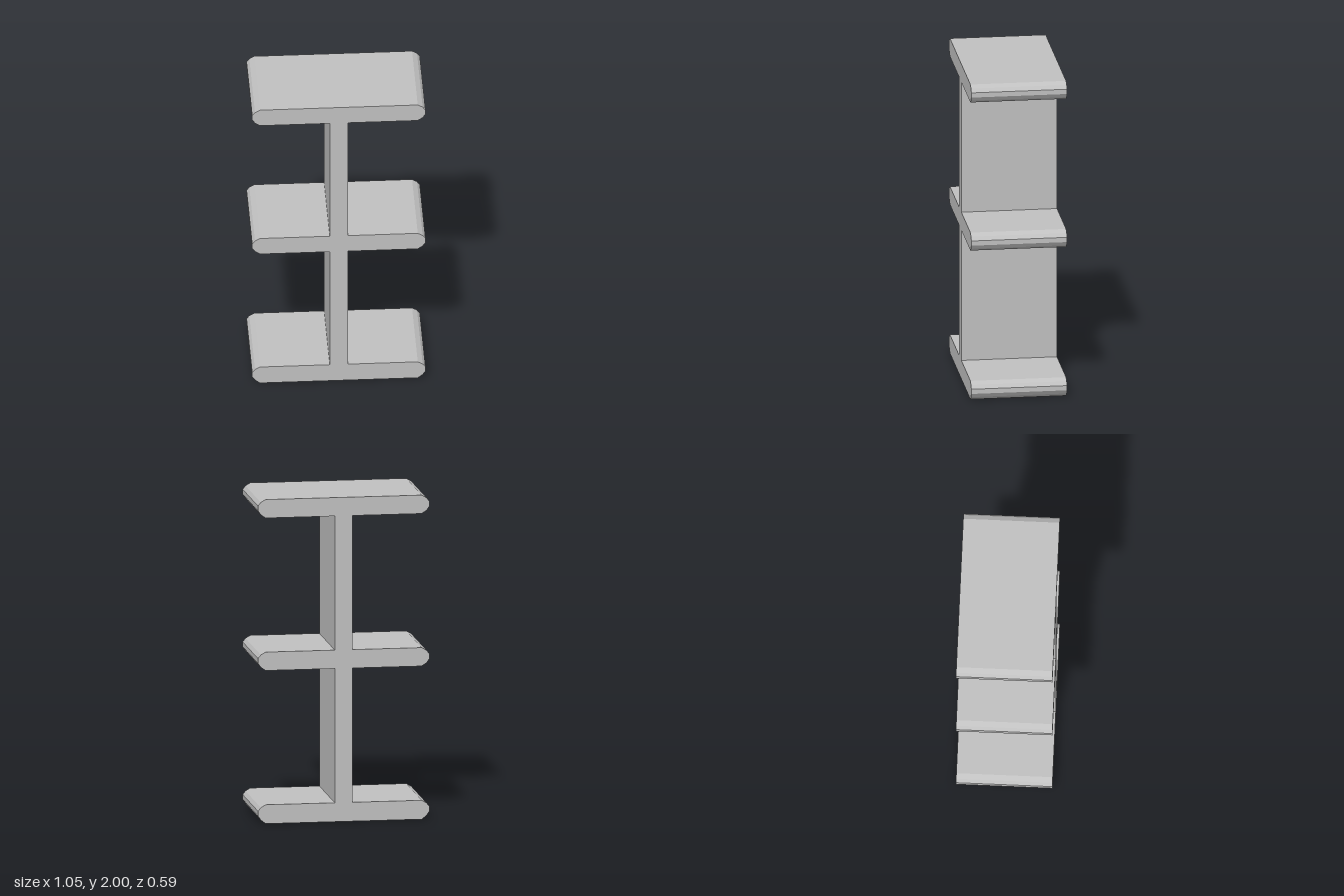
import * as THREE from 'three';

export function createModel() {
  const group = new THREE.Group();
  const grey = new THREE.MeshStandardMaterial({ color: 0xc0c0c0 });
  grey.name = 'light grey';

  const depth = 0.586, post = 0.055, half = 0.057;
  const shelfHeights = [0.06, 1.002, 1.943];

  // Faceted rounded shelf end, from underside to top: [x, offset from shelf centre]
  const shelfEnd = [
    [0.48, -half], [0.51, -0.037], [0.527, -0.012],
    [0.527, 0.018], [0.51, 0.04], [0.48, half],
  ];

  // Right half of the outline, going up; the post joins the shelves
  const right = [];
  shelfHeights.forEach((y, i) => {
    const bottom = i === 0 ? 0 : y - half;
    const top = i === 2 ? 2 : y + half;
    if (i > 0) right.push([post, bottom]);
    shelfEnd.forEach(([x, dy], k) => {
      right.push([x, k === 0 ? bottom : k === 5 ? top : y + dy]);
    });
    if (i < 2) right.push([post, top]);
  });

  // Mirror the half outline and extrude it front to back
  const left = right.map(([x, y]) => [-x, y]).reverse();
  const outline = new THREE.Shape([...right, ...left].map(([x, y]) => new THREE.Vector2(x, y)));
  const geometry = new THREE.ExtrudeGeometry(outline, { depth, bevelEnabled: false });
  geometry.translate(0, 0, -depth / 2);

  const stand = new THREE.Mesh(geometry, grey);
  stand.name = 'shelvesAndPost';
  group.add(stand);
  group.name = 'shelfStand';
  return group;
}
